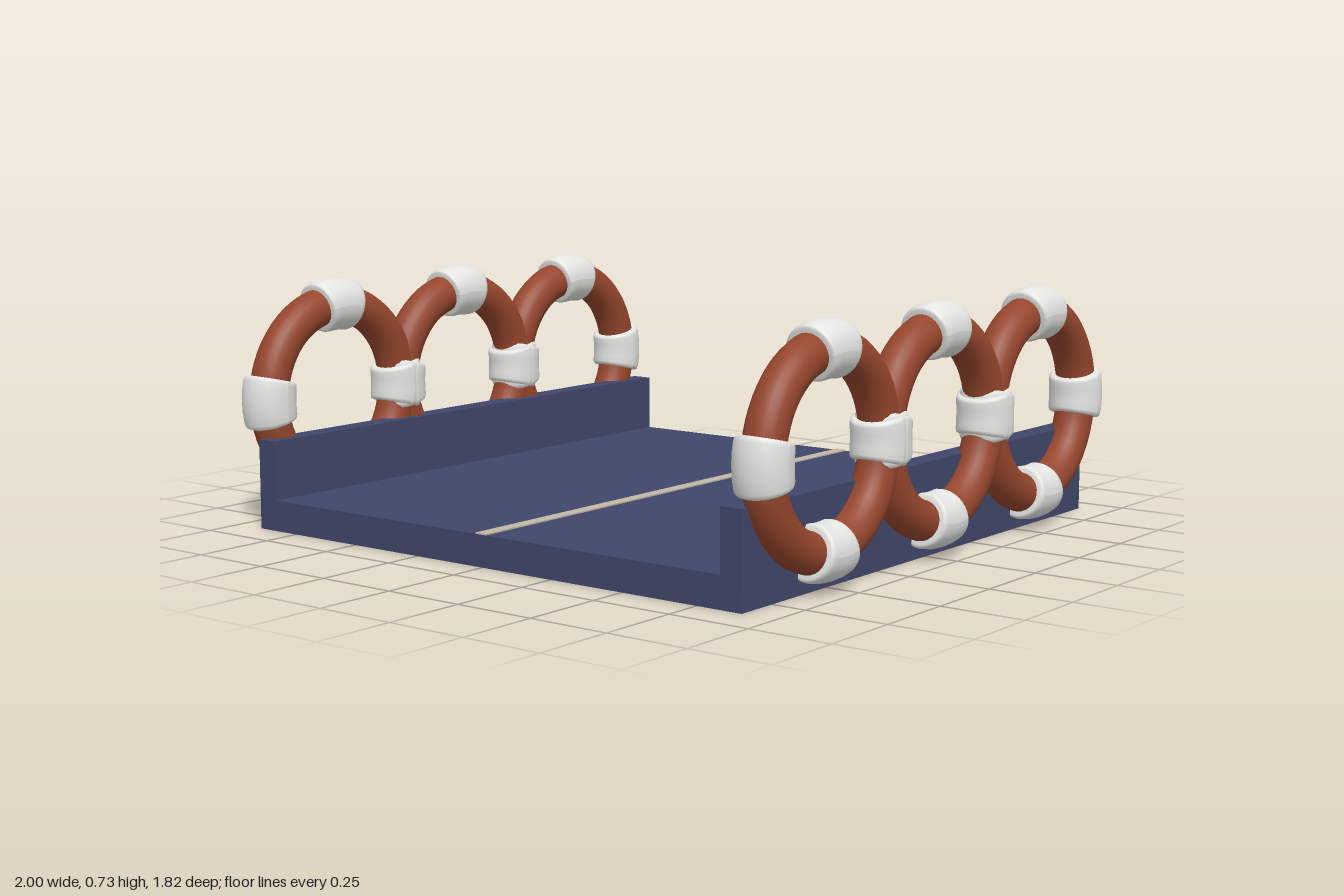
import * as THREE from 'three';

const mat = (name, color) => {
  const m = new THREE.MeshStandardMaterial({ color });
  m.name = name;
  return m;
};

export function createModel() {
  const navy = mat('navy', 0x40466a);
  const rust = mat('rust', 0x96462d);
  const white = mat('white', 0xe4e4e2);
  const cream = mat('cream', 0xc4b8a6);

  const model = new THREE.Group();
  model.name = 'raft';
  const add = (parent, name, geometry, material, x = 0, y = 0, z = 0) => {
    const mesh = new THREE.Mesh(geometry, material);
    mesh.name = name;
    mesh.position.set(x, y, z);
    parent.add(mesh);
    return mesh;
  };

  // Hull: a shallow U section run from back to front
  const hullShape = new THREE.Shape([
    [-0.9, 0], [0.895, 0], [0.895, 0.272], [0.825, 0.272],
    [0.825, 0.093], [-0.832, 0.093], [-0.832, 0.272], [-0.9, 0.272],
  ].map(([x, y]) => new THREE.Vector2(x, y)));
  const length = 1.794, back = -0.91;
  add(model, 'hull', new THREE.ExtrudeGeometry(hullShape, { depth: length, bevelEnabled: false }),
    navy, 0, 0, back);

  // Centre stripe
  add(model, 'centreStripe', new THREE.BoxGeometry(0.038, 0.005, length), cream,
    -0.005, 0.0945, back + length / 2);

  // Wrapped band: a rounded sleeve bent around the ring's centre
  const R = 0.272, halfAngle = 0.245;
  const profile = [
    [0.05, -1], [0.07, -1], [0.077, -0.95], [0.08, -0.8], [0.081, -0.4], [0.081, 0],
    [0.081, 0.4], [0.08, 0.8], [0.077, 0.95], [0.07, 1], [0.05, 1],
  ].map(([r, t]) => new THREE.Vector2(r, t));
  const bandGeometry = new THREE.LatheGeometry(profile, 32);
  const p = bandGeometry.attributes.position;
  for (let i = 0; i < p.count; i++) {
    const a = p.getY(i) * halfAngle, r = R + p.getX(i);
    p.setXY(i, Math.cos(a) * r, Math.sin(a) * r);
  }
  bandGeometry.computeVertexNormals();

  // Life rings: three along each side, with four bands each
  const ringGeometry = new THREE.TorusGeometry(R, 0.059, 24, 64);
  for (const side of [-1, 1]) {
    for (const z of [-0.558, -0.005, 0.553]) {
      const ring = new THREE.Group();
      ring.name = side > 0 ? 'leftLifeRing' : 'rightLifeRing';
      ring.position.set(side * 0.917, 0.38, z);
      ring.rotation.y = Math.PI / 2;
      add(ring, 'ringTube', ringGeometry, rust);
      for (let k = 0; k < 4; k++) {
        add(ring, 'ringBand', bandGeometry, white).rotation.z = k * Math.PI / 2;
      }
      model.add(ring);
    }
  }
  return model;
}
